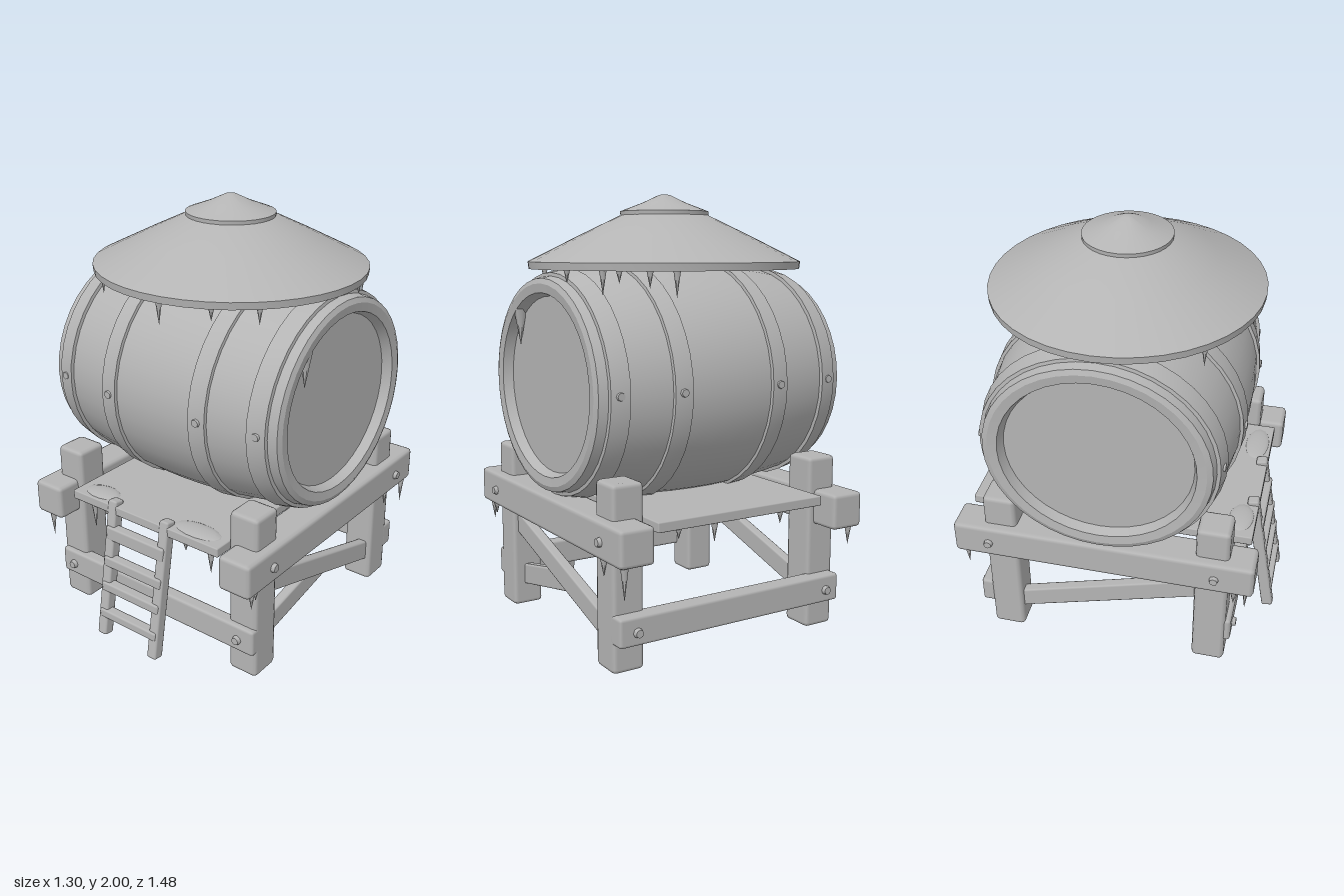
import * as THREE from 'three';
import { toCreasedNormals } from 'three/addons/utils/BufferGeometryUtils.js';
import { RoundedBoxGeometry } from 'three/addons/geometries/RoundedBoxGeometry.js';

export function createModel() {
  const model = new THREE.Group();
  model.name = 'barrelWaterTower';
  const grey = new THREE.MeshStandardMaterial({ color: 0xb4b4b4 });
  grey.name = 'plainGrey';

  const add = (name, geometry, x = 0, y = 0, z = 0, parent = model) => {
    const mesh = new THREE.Mesh(geometry, grey);
    mesh.name = name;
    mesh.position.set(x, y, z);
    parent.add(mesh);
    return mesh;
  };
  // Timber given by its minimum and maximum corners
  const timber = (name, [x0, y0, z0], [x1, y1, z1], bevel = 0.015, parent = model) =>
    add(name, new RoundedBoxGeometry(x1 - x0, y1 - y0, z1 - z0, 1, bevel),
      (x0 + x1) / 2, (y0 + y1) / 2, (z0 + z1) / 2, parent);
  // Timber running between two points
  const strut = (name, from, to, width, height, parent = model) => {
    const a = new THREE.Vector3(...from), b = new THREE.Vector3(...to);
    const mesh = add(name, new RoundedBoxGeometry(width, height, a.distanceTo(b), 1, 0.01), 0, 0, 0, parent);
    mesh.position.copy(a).add(b).multiplyScalar(0.5);
    mesh.lookAt(b);
  };
  const lathe = (points, sides) => toCreasedNormals(
    new THREE.LatheGeometry(points.map(([r, y]) => new THREE.Vector2(r, y)), sides), 0.5);
  const bolt = (name, x, y, z, axis, parent = model) => {
    const mesh = add(name, new THREE.CylinderGeometry(0.018, 0.025, 0.03, 8), x, y, z, parent);
    if (axis === 'x') mesh.rotation.z = -Math.sign(x) * Math.PI / 2;
    else mesh.rotation.x = Math.sign(z) * Math.PI / 2;
  };
  const icicle = (x, y, z, length, radius = 0.018) => {
    const cone = new THREE.ConeGeometry(radius, length, 6);
    cone.rotateX(Math.PI);
    add('icicle', cone, x, y - length / 2, z);
  };

  // Barrel lying along x, a little flattened vertically
  const barrel = new THREE.Group();
  barrel.name = 'barrel';
  barrel.position.set(-0.01, 1.155, -0.04);
  barrel.scale.set(1, 0.935, 1);
  model.add(barrel);
  const bulge = x => 0.58 - 0.19 * x * x;
  const profile = [[0, -0.59], [0.42, -0.59], [0.437, -0.635], [0.48, -0.64]];
  for (let i = -6; i <= 6; i++) profile.push([bulge(i * 0.105), i * 0.105]);
  profile.push([0.48, 0.64], [0.437, 0.635], [0.42, 0.59], [0, 0.59]);
  add('staves', lathe(profile, 40).rotateZ(-Math.PI / 2), 0, 0, 0, barrel);

  // Hoops, each following the bulge
  for (const [a, b, lift] of [[-0.59, -0.5, 0.016], [-0.28, -0.19, 0.014], [0.22, 0.31, 0.014], [0.5, 0.59, 0.016]]) {
    const hoop = [[bulge(a) - 0.01, a], [bulge(a) + lift, a + 0.004], [bulge(b) + lift, b - 0.004], [bulge(b) - 0.01, b]];
    add('hoop', lathe(hoop, 40).rotateZ(-Math.PI / 2), 0, 0, 0, barrel);
    const mid = (a + b) / 2;
    for (const side of [-1, 1]) bolt('hoopRivet', mid, 0.01, side * (bulge(mid) + 0.006), 'z', barrel);
  }

  // Conical roof with a small cap
  const roof = new THREE.Group();
  roof.name = 'roof';
  roof.position.set(-0.005, 0, -0.045);
  roof.scale.z = 0.965;
  model.add(roof);
  add('roofCone', lathe([[0, 1.69], [0.6, 1.675], [0.632, 1.662], [0.636, 1.695], [0.4, 1.812], [0.2, 1.907], [0, 1.93]], 40), 0, 0, 0, roof);
  add('roofCap', lathe([[0, 1.89], [0.205, 1.9], [0.207, 1.922], [0.1, 1.962], [0.025, 1.997], [0, 2]], 32), 0, 0, 0, roof);

  // Four posts, the long side beams and the braces
  for (const s of [-1, 1]) {
    const span = (a, b) => [Math.min(s * a, s * b), Math.max(s * a, s * b)];
    const [p0, p1] = span(0.44, 0.59), [b0, b1] = span(0.47, 0.635);
    timber('frontPost', [p0, 0, 0.395], [p1, 0.81, 0.55], 0.02);
    timber('backPost', [p0, 0, -0.6], [p1, 0.81, -0.445], 0.02);
    timber('sideBeam', [b0, 0.495, -0.74], [b1, 0.66, 0.67], 0.02);
    strut('longBrace', [s * 0.54, 0.43, 0.42], [s * 0.54, 0.16, -0.47], 0.05, 0.1);
    for (const z of [0.49, -0.57]) bolt('beamBolt', s * 0.637, 0.575, z, 'x');
    for (const z of [0.578, -0.658]) bolt('crossBeamBolt', s * 0.505, 0.19, z, 'z');
  }
  // Short brace that stops at the long one
  strut('shortBrace', [0.51, 0.15, 0.42], [0.51, 0.25, -0.08], 0.05, 0.1);

  // Low cross beams and the deck
  timber('frontCrossBeam', [-0.58, 0.13, 0.51], [0.59, 0.26, 0.575]);
  timber('backCrossBeam', [-0.58, 0.13, -0.655], [0.59, 0.26, -0.57]);
  timber('deck', [-0.42, 0.615, -0.71], [0.44, 0.66, 0.63], 0.006);

  // Thin ice mounds at the deck's front edge
  for (const [x, w] of [[-0.29, 0.1], [0.28, 0.13]]) {
    const mound = add('iceMound', new THREE.SphereGeometry(1, 14, 8), x, 0.655, 0.56);
    mound.scale.set(w, 0.018, 0.06);
  }

  // Leaning ladder
  const ladder = new THREE.Group();
  ladder.name = 'ladder';
  model.add(ladder);
  const ladderZ = y => 0.715 - 0.17 * y;
  for (const x of [-0.172, 0.137])
    strut('ladderRail', [x, 0.01, ladderZ(0)], [x, 0.68, ladderZ(0.68)], 0.052, 0.055, ladder);
  for (const [y, half] of [[0.125, 0.022], [0.26, 0.024], [0.385, 0.026], [0.525, 0.035]])
    timber('rung', [-0.19, y - half, ladderZ(y) - 0.015], [0.155, y + half, ladderZ(y) + 0.035], 0.01, ladder);

  // Icicles around the roof rim: x, z, length
  for (const [x, z, length] of [
    [0.05, 0.52, 0.13], [-0.41, 0.37, 0.12], [0.28, 0.46, 0.08], [0.43, 0.33, 0.1],
    [0.58, -0.2, 0.07], [0.5, -0.37, 0.12], [0.45, -0.42, 0.07], [0.35, -0.5, 0.09], [0.25, -0.55, 0.13]])
    icicle(x, 1.68, z, length);

  // Icicles below the beams and the deck edges
  for (const [x, z, length] of [
    [-0.57, 0.63, 0.14], [-0.61, 0.58, 0.08], [0.6, 0.6, 0.1], [0.6, 0.57, 0.07],
    [0.6, -0.71, 0.15], [0.6, -0.54, 0.09], [-0.6, -0.69, 0.1], [-0.57, -0.53, 0.08]])
    icicle(x, 0.505, z, length);
  for (const [x, z, length] of [
    [-0.3, 0.61, 0.14], [0.25, 0.61, 0.06], [0.39, 0.61, 0.12],
    [-0.2, -0.69, 0.07], [0.15, -0.69, 0.1], [0.33, -0.69, 0.06]])
    icicle(x, 0.63, z, length);

  // Icicle hanging inside the lid's rim
  icicle(0.6, 1.48, 0.24, 0.17, 0.03);

  return model;
}
